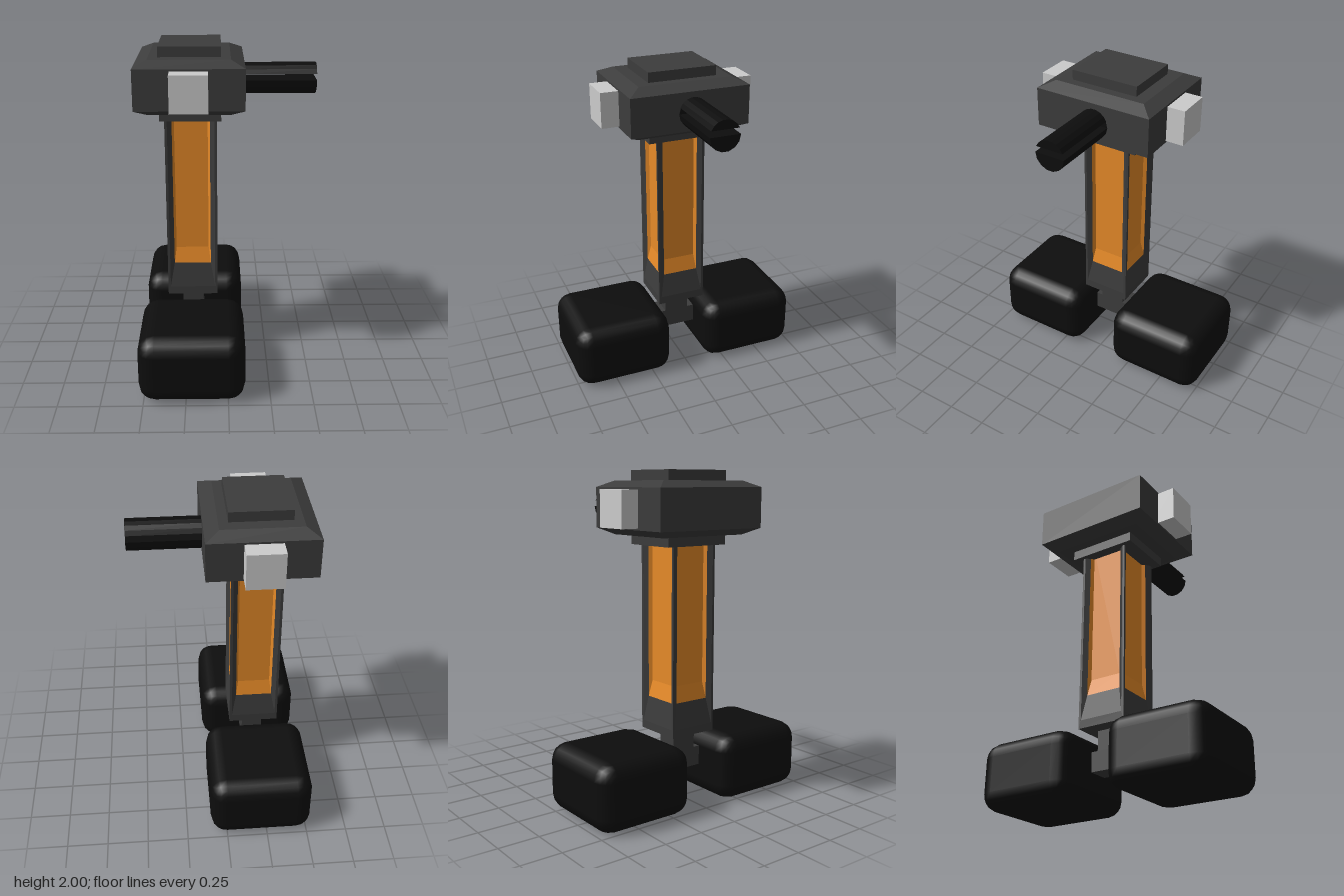
import * as THREE from 'three';
import { RoundedBoxGeometry } from 'three/addons/geometries/RoundedBoxGeometry.js';

const material = (color, extra = {}) => new THREE.MeshStandardMaterial({ color, flatShading: true, ...extra });
const dark = material(0x3c3c3c);
const black = material(0x0d0d0d);
const orange = material(0xe68a28);
const grey = material(0xcccccc);
const CX = -0.215; // centre line of the column, head and wheels

function add(parent, name, geometry, mat, x = 0, y = 0, z = 0) {
  const mesh = new THREE.Mesh(geometry, mat);
  mesh.name = name;
  mesh.position.set(x, y, z);
  parent.add(mesh);
  return mesh;
}

function box(parent, name, mat, [w, h, d], [x, y, z]) {
  return add(parent, name, new THREE.BoxGeometry(w, h, d), mat, x, y, z);
}

// Geometry from quads, each given counter-clockwise
function quads(list) {
  const pos = list.flatMap(([a, b, c, d]) => [a, b, c, a, c, d].flat());
  const g = new THREE.BufferGeometry();
  g.setAttribute('position', new THREE.Float32BufferAttribute(pos, 3));
  g.computeVertexNormals();
  return g;
}

// U-shaped ring of a column face, open at the top
const TOP = 1.63;
const ring = (half, bottom, z) => [[-half, TOP, z], [-half, bottom, z], [half, bottom, z], [half, TOP, z]];
const strip = (a, b) => [0, 1, 2].map(i => [a[i], a[i + 1], b[i + 1], b[i]]);

// Box whose top and bottom edges are bevelled
function bevelledBox(w, d, levels, inset) {
  const g = new THREE.BoxGeometry(w, 3, d, 1, 3, 1);
  const p = g.attributes.position;
  for (let i = 0; i < p.count; i++) {
    const k = Math.round(p.getY(i) + 1.5);
    const cut = k === 0 || k === 3 ? inset : 0;
    p.setXYZ(i, Math.sign(p.getX(i)) * (w / 2 - cut), levels[k], Math.sign(p.getZ(i)) * (d / 2 - cut));
  }
  const flat = g.toNonIndexed();
  flat.computeVertexNormals();
  return flat;
}

// Rod along x with the cross-section of a circle between two angles
function rod(from, to, length, radius = 0.092, steps = 7) {
  const pts = [];
  for (let i = 0; i <= steps; i++) {
    const a = from + (to - from) * i / steps;
    pts.push(new THREE.Vector2(Math.cos(a) * radius, Math.sin(a) * radius));
  }
  const g = new THREE.ExtrudeGeometry(new THREE.Shape(pts), { depth: length, bevelEnabled: false });
  return g.rotateY(Math.PI / 2);
}

export function createModel() {
  const model = new THREE.Group();
  model.name = 'model';

  // Wheels and grey side blocks, front and back
  const wheelGeometry = new RoundedBoxGeometry(0.63, 0.41, 0.63, 2, 0.1);
  for (const [side, s] of [['front', 1], ['back', -1]]) {
    add(model, side + 'Wheel', wheelGeometry, material(0x0d0d0d, { flatShading: false }), CX, 0.205, s * 0.437);
    box(model, side + 'Block', grey, [0.215, 0.215, 0.16], [CX, 1.783, s * 0.4]);
  }

  // Axle and post
  box(model, 'axle', dark, [0.13, 0.12, 0.3], [CX, 0.25, 0]);
  box(model, 'post', dark, [0.13, 0.25, 0.16], [CX, 0.315, 0]);

  // Column: four framed faces with recessed panels
  const column = new THREE.Group();
  column.name = 'column';
  column.position.x = CX;
  model.add(column);
  const r = [ring(0.155, 0.43, 0.155), ring(0.14, 0.48, 0.155), ring(0.113, 0.635, 0.135), ring(0.1, 0.735, 0.115)];
  const frameGeometry = quads([...strip(r[0], r[1]), ...strip(r[1], r[2])]);
  const panelGeometry = quads([...strip(r[2], r[3]), r[3]]);
  for (let i = 0; i < 4; i++) {
    add(column, 'columnFrame', frameGeometry, dark).rotation.y = i * Math.PI / 2;
    add(column, 'columnPanel', panelGeometry, orange).rotation.y = i * Math.PI / 2;
  }
  add(column, 'columnBase', new THREE.PlaneGeometry(0.31, 0.31), dark, 0, 0.43, 0).rotation.x = Math.PI / 2;

  // Head with collar below and raised cap above
  add(model, 'head', bevelledBox(0.63, 0.74, [1.625, 1.665, 1.902, 1.94], 0.08), dark, CX);
  box(model, 'collar', dark, [0.36, 0.1, 0.425], [CX, 1.617, 0]);
  box(model, 'cap', dark, [0.36, 0.1, 0.425], [CX, 1.95, 0]);

  // Split barrel on the left side
  const barrel = new THREE.Group();
  barrel.name = 'barrel';
  barrel.position.set(0.09, 1.777, -0.015);
  model.add(barrel);
  add(barrel, 'barrelLower', rod(Math.PI, 2 * Math.PI, 0.44), black);
  add(barrel, 'barrelUpper', rod(0.41, Math.PI - 0.41, 0.44), black);
  add(barrel, 'barrelRoot', rod(0, 2 * Math.PI * 13 / 14, 0.015, 0.09, 13), black);

  return model;
}
